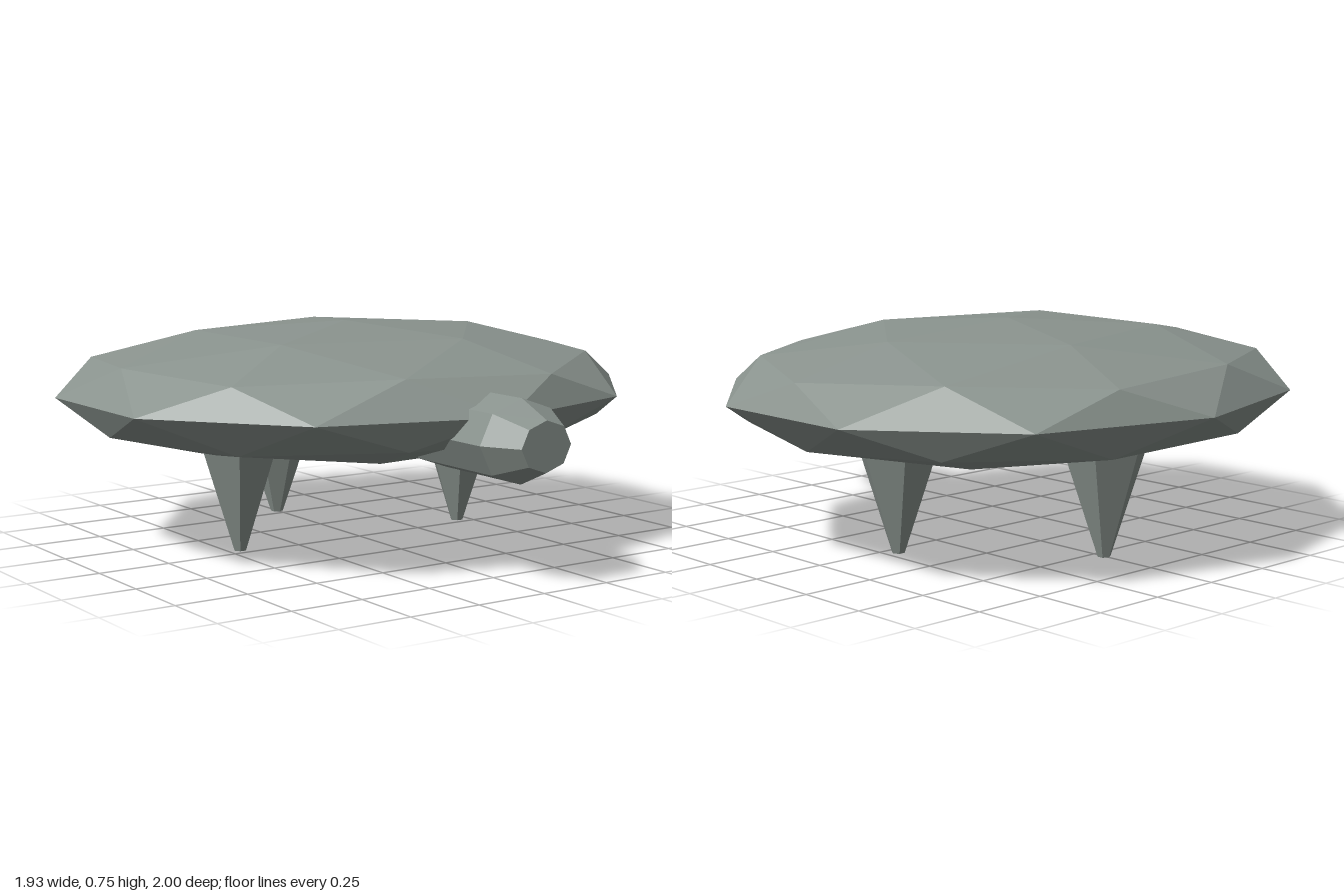
import * as THREE from 'three';

// Faceted dome ball: pole-up icosahedron, each edge split once
function facetedBall() {
  const verts = [0, 1, 0, 0, -1, 0];
  const faces = [];
  const h = 1 / Math.sqrt(5), r = 2 / Math.sqrt(5);
  for (let k = 0; k < 5; k++) {
    const a = (k * 2 * Math.PI) / 5, b = a + Math.PI / 5;
    verts.push(r * Math.cos(a), h, r * Math.sin(a));
    verts.push(r * Math.cos(b), -h, r * Math.sin(b));
    const n = (k + 1) % 5;
    const u = 2 + 2 * k, l = 3 + 2 * k, u2 = 2 + 2 * n, l2 = 3 + 2 * n;
    faces.push(0, u2, u, u, u2, l, u2, l2, l, 1, l, l2);
  }
  return new THREE.PolyhedronGeometry(verts, faces, 1, 1);
}

export function createModel() {
  const model = new THREE.Group();
  const grey = new THREE.MeshStandardMaterial({ color: 0x8a938e });
  grey.name = 'grey metal';
  grey.flatShading = true;

  const add = (name, geometry) => {
    const mesh = new THREE.Mesh(geometry, grey);
    mesh.name = name;
    model.add(mesh);
  };

  // Flattened body
  const body = facetedBall().scale(1.015, 0.228, 0.91).translate(0, 0.518, -0.09);
  body.computeVertexNormals();
  add('body', body);

  // Eight-sided snout with a bevelled front end
  const profile = [[0, 0.5], [1, 0.5], [1, 0.88], [0.6, 1], [0, 1]]
    .map(([x, y]) => new THREE.Vector2(x, y));
  const snout = new THREE.LatheGeometry(profile, 8)
    .rotateX(Math.PI / 2).scale(0.16, 0.134, 1).translate(0, 0.452, 0);
  add('snout', snout);

  // Three tapered six-sided legs
  const legs = [
    ['leftLeg', 0.455, -0.043, Math.PI / 6],
    ['rightLeg', -0.455, -0.043, Math.PI / 6],
    ['backLeg', 0, -0.545, 0],
  ];
  for (const [name, x, z, turn] of legs) {
    add(name, new THREE.CylinderGeometry(0.148, 0.022, 0.38, 6)
      .rotateY(turn).translate(x, 0.19, z));
  }
  return model;
}
